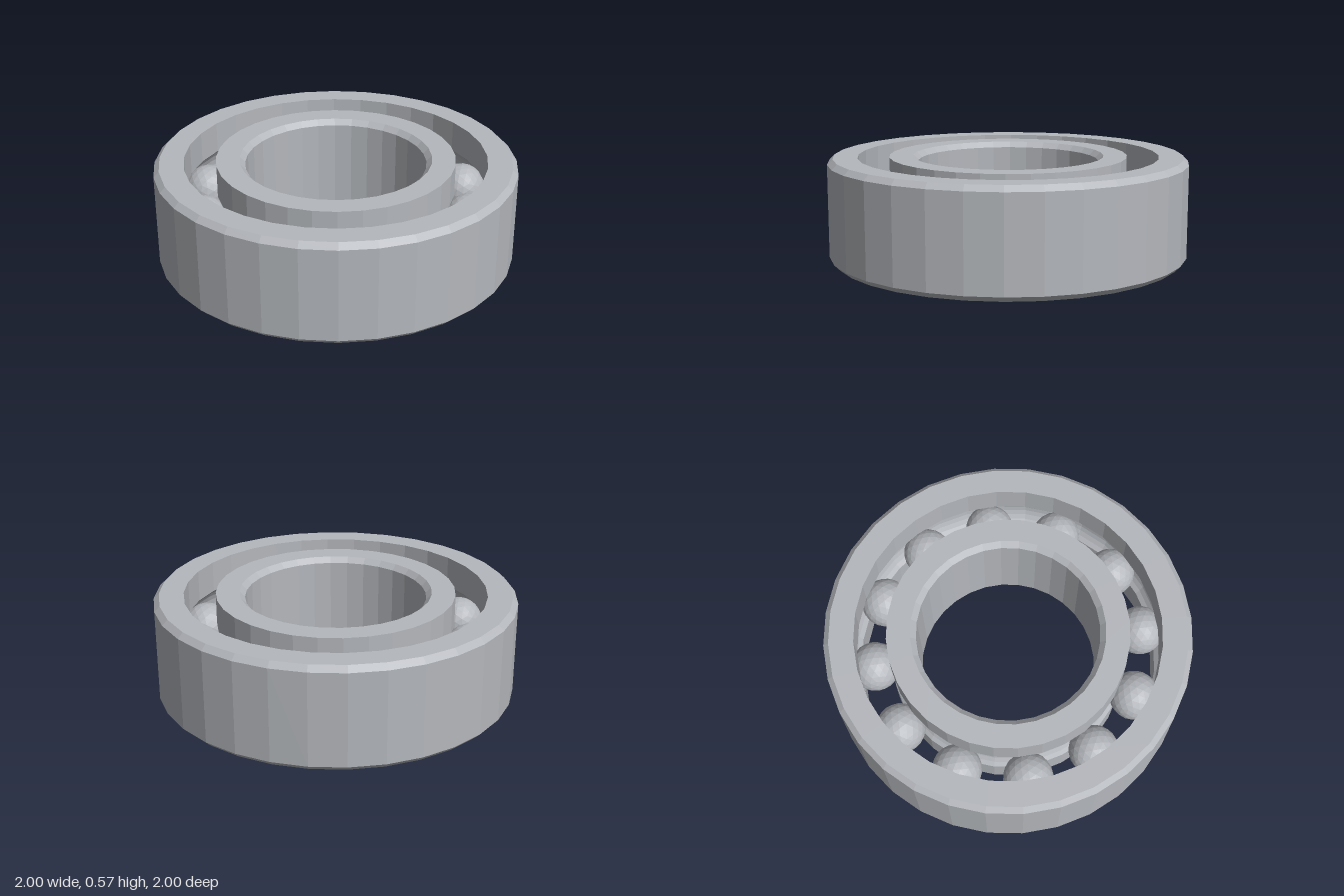
import * as THREE from 'three';

const HEIGHT = 0.575, MID = HEIGHT / 2, CHAMFER = 0.03;
const SEGMENTS = 32, BALLS = 12, BALL_RADIUS = 0.137, PITCH_RADIUS = 0.75;

// Raceway groove: arc around the ball centre, clipped by the ring wall; side is +1 outer, -1 inner
function groove(wallRadius, side) {
  const r = BALL_RADIUS + 0.003;
  const half = Math.acos(Math.abs(wallRadius - PITCH_RADIUS) / r);
  const points = [];
  for (let i = 0; i <= 8; i++) {
    const a = half * (1 - i / 4);
    points.push([PITCH_RADIUS + side * r * Math.cos(a), MID + r * Math.sin(a)]);
  }
  return points; // from top to bottom
}

// Revolve a closed counter-clockwise (radius, height) profile
function ring(name, profile, material) {
  const points = [...profile, profile[0]].map(([r, y]) => new THREE.Vector2(r, y));
  const geometry = new THREE.LatheGeometry(points, SEGMENTS).toNonIndexed();
  geometry.computeVertexNormals();
  const mesh = new THREE.Mesh(geometry, material);
  mesh.name = name;
  return mesh;
}

export function createModel() {
  const group = new THREE.Group();
  group.name = 'ballBearing';
  const steel = new THREE.MeshStandardMaterial({ color: 0xb4b7bc });
  steel.name = 'steel';

  // Outer ring: chamfered outside, grooved inside
  const outerWall = 0.835;
  group.add(ring('outerRing', [
    [1 - CHAMFER, 0], [1, CHAMFER], [1, HEIGHT - CHAMFER], [1 - CHAMFER, HEIGHT],
    [outerWall, HEIGHT], ...groove(outerWall, 1), [outerWall, 0],
  ], steel));

  // Inner ring: grooved outside, chamfered bore
  const innerWall = 0.66, bore = 0.5;
  group.add(ring('innerRing', [
    [innerWall, 0], ...groove(innerWall, -1).reverse(), [innerWall, HEIGHT],
    [bore + CHAMFER, HEIGHT], [bore, HEIGHT - CHAMFER], [bore, CHAMFER], [bore + CHAMFER, 0],
  ], steel));

  // Faceted balls around the raceway
  const balls = new THREE.Group();
  balls.name = 'balls';
  const ballGeometry = new THREE.IcosahedronGeometry(BALL_RADIUS, 3);
  ballGeometry.computeVertexNormals(); // non-indexed, so this gives flat facets
  for (let i = 0; i < BALLS; i++) {
    const a = (i / BALLS) * Math.PI * 2;
    const ball = new THREE.Mesh(ballGeometry, steel);
    ball.name = 'ball';
    ball.position.set(PITCH_RADIUS * Math.cos(a), MID, PITCH_RADIUS * Math.sin(a));
    ball.rotation.y = -a;
    balls.add(ball);
  }
  group.add(balls);
  return group;
}
